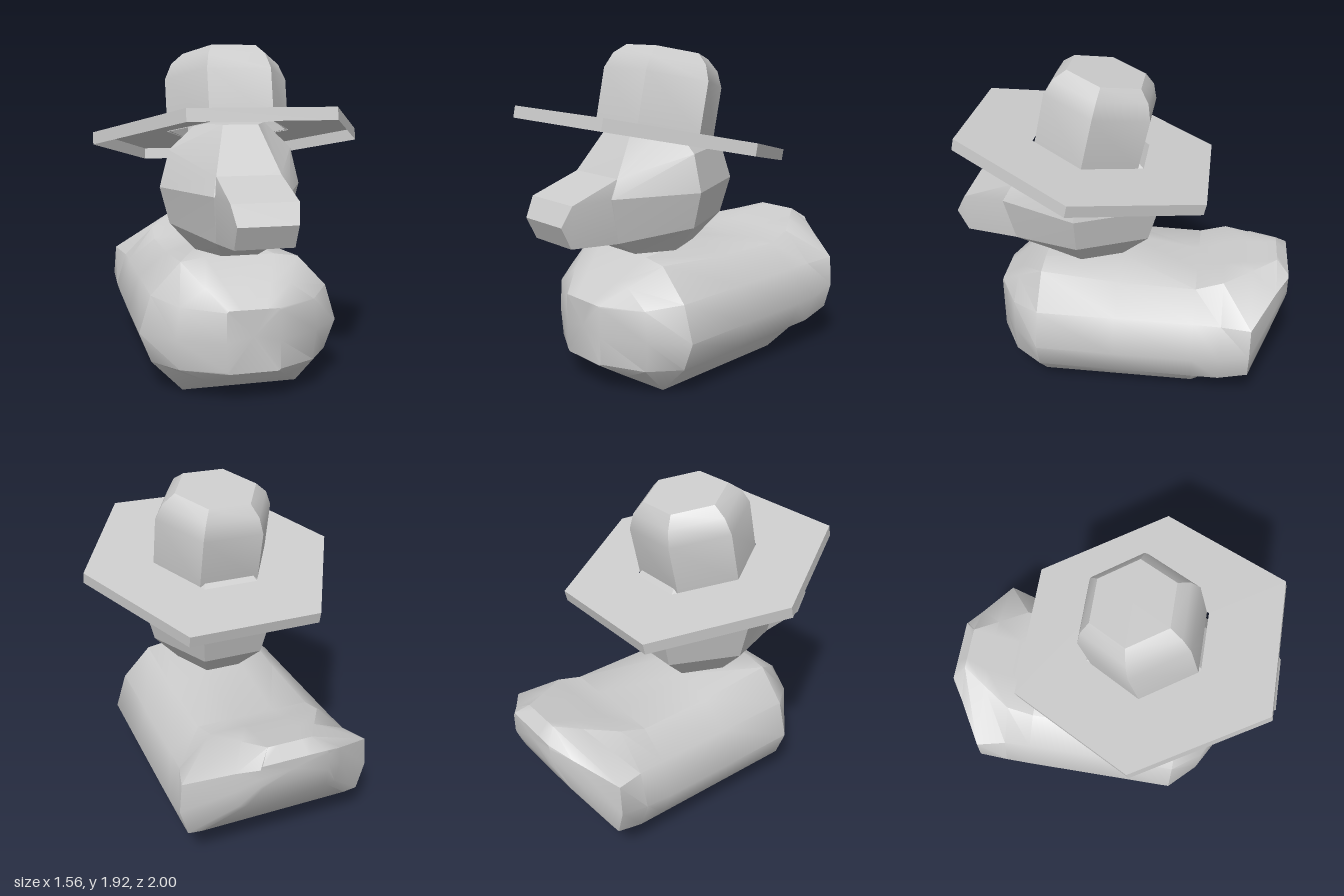
import * as THREE from 'three';
import { toCreasedNormals } from 'three/addons/utils/BufferGeometryUtils.js';
import { ConvexGeometry } from 'three/addons/geometries/ConvexGeometry.js';

const material = new THREE.MeshStandardMaterial({ color: 0xcccccc, side: THREE.DoubleSide });

function part(name, geometry, crease = 0.6) {
  const mesh = new THREE.Mesh(toCreasedNormals(geometry, crease), material);
  mesh.name = name;
  return mesh;
}

// Skin a list of equal-length rings of [x, y, z] points and cap both ends.
function loft(rings) {
  const n = rings[0].length, last = rings.length - 1;
  const points = rings.flat(), index = [];
  for (let i = 0; i < last; i++) {
    for (let j = 0; j < n; j++) {
      const a = i * n + j, b = i * n + (j + 1) % n;
      index.push(a, a + n, b, b, a + n, b + n);
    }
  }
  for (const end of [0, last]) {
    const centre = points.length;
    points.push([0, 1, 2].map(k => rings[end].reduce((s, p) => s + p[k], 0) / n));
    for (let j = 0; j < n; j++) {
      const a = end * n + j, b = end * n + (j + 1) % n;
      if (end === 0) index.push(centre, a, b);
      else index.push(centre, b, a);
    }
  }
  const g = new THREE.BufferGeometry();
  g.setAttribute('position', new THREE.Float32BufferAttribute(points.flat(), 3));
  g.setIndex(index);
  return g;
}

// Six-sided surface of revolution with corners pointing to either side.
function hexLathe(profile) {
  return new THREE.LatheGeometry(profile.map(p => new THREE.Vector2(...p)), 6, Math.PI / 6);
}

// Body and upturned tail: half sections from bottom to top, listed front to back.
function makeBody() {
  const sections = [
    [0.76, [[0.14, 0.18], [0.15, 0.19], [0.15, 0.35], [0.15, 0.52], [0.14, 0.53], [0.07, 0.53]]],
    [0.63, [[0.22, 0.1], [0.38, 0.18], [0.4, 0.35], [0.38, 0.53], [0.24, 0.63], [0.13, 0.63]]],
    [0.46, [[0.335, 0], [0.51, 0.18], [0.575, 0.35], [0.51, 0.56], [0.34, 0.74], [0.2, 0.76]]],
    [0, [[0.335, 0], [0.51, 0.18], [0.575, 0.35], [0.51, 0.56], [0.34, 0.7], [0.12, 0.76]]],
    [-0.46, [[0.335, 0], [0.51, 0.18], [0.575, 0.35], [0.51, 0.56], [0.34, 0.69], [0.12, 0.69]]],
    [-0.62, [[0.42, 0.17], [0.51, 0.18], [0.575, 0.36], [0.515, 0.56], [0.33, 0.74], [0.12, 0.74]]],
    [-0.79, [[0.45, 0.23], [0.53, 0.24], [0.575, 0.4], [0.56, 0.58], [0.22, 0.77], [0.12, 0.77]]],
    [-0.93, [[0.24, 0.45], [0.29, 0.46], [0.32, 0.56], [0.31, 0.68], [0.13, 0.8], [0.07, 0.8]]],
    [-1, [[0.18, 0.6], [0.2, 0.61], [0.2, 0.66], [0.2, 0.72], [0.19, 0.74], [0.08, 0.74]]],
  ];
  return part('body', loft(sections.map(([z, half]) => [
    ...half.map(([x, y]) => [x, y, z]),
    ...half.slice().reverse().map(([x, y]) => [-x, y, z]),
  ])), 0.7);
}

// Head: hexagonal rings as [y, half width, back z, front z, front y].
function makeHead() {
  const rings = [
    [0.76, 0.21, 0, 0.46, 0.76],
    [0.92, 0.36, -0.16, 0.64, 0.87],
    [1.13, 0.415, -0.22, 0.7, 1.13],
    [1.34, 0.36, -0.16, 0.64, 1.23],
    [1.49, 0.2, 0, 0.46, 1.49],
  ];
  return part('head', loft(rings.map(([y, w, back, front, fy]) => [
    [w, y, 0.24], [w / 2, fy, front], [-w / 2, fy, front],
    [-w, y, 0.24], [-w / 2, y, back], [w / 2, y, back],
  ])), 0.4);
}

// Beak: blunt wedge reaching forward from the face.
function makeBeak() {
  const half = [
    [0.18, 0.87, 0.64], [0.2, 1.13, 0.7], [0.18, 1.23, 0.64],
    [0.16, 0.895, 0.94], [0.16, 1.02, 1], [0.18, 1.13, 0.94],
  ];
  const points = half.flatMap(([x, y, z]) => [1, -1].map(s => new THREE.Vector3(s * x, y, z)));
  return part('beak', new ConvexGeometry(points), 0.4);
}

// Hat: crown on a hexagonal brim with a turned-down rim, open below, tipped back.
function makeHat() {
  const hat = new THREE.Group();
  hat.name = 'hat';
  const brim = hexLathe([[0.78, -0.034], [0.78, 0.034], [0.345, 0.034]]).scale(1, 1, 1.055);
  const crown = hexLathe([
    [0.36, 0.03], [0.36, 0.33], [0.32, 0.42], [0.25, 0.48], [0, 0.48],
  ]).scale(1, 1, 0.97);
  hat.add(part('hatBrim', brim), part('hatCrown', crown));
  hat.position.set(0, 1.41, 0.205);
  hat.rotation.x = -0.22;
  return hat;
}

export function createModel() {
  const model = new THREE.Group();
  model.name = 'duckWithHat';
  model.add(makeBody(), makeHead(), makeBeak(), makeHat());
  return model;
}
